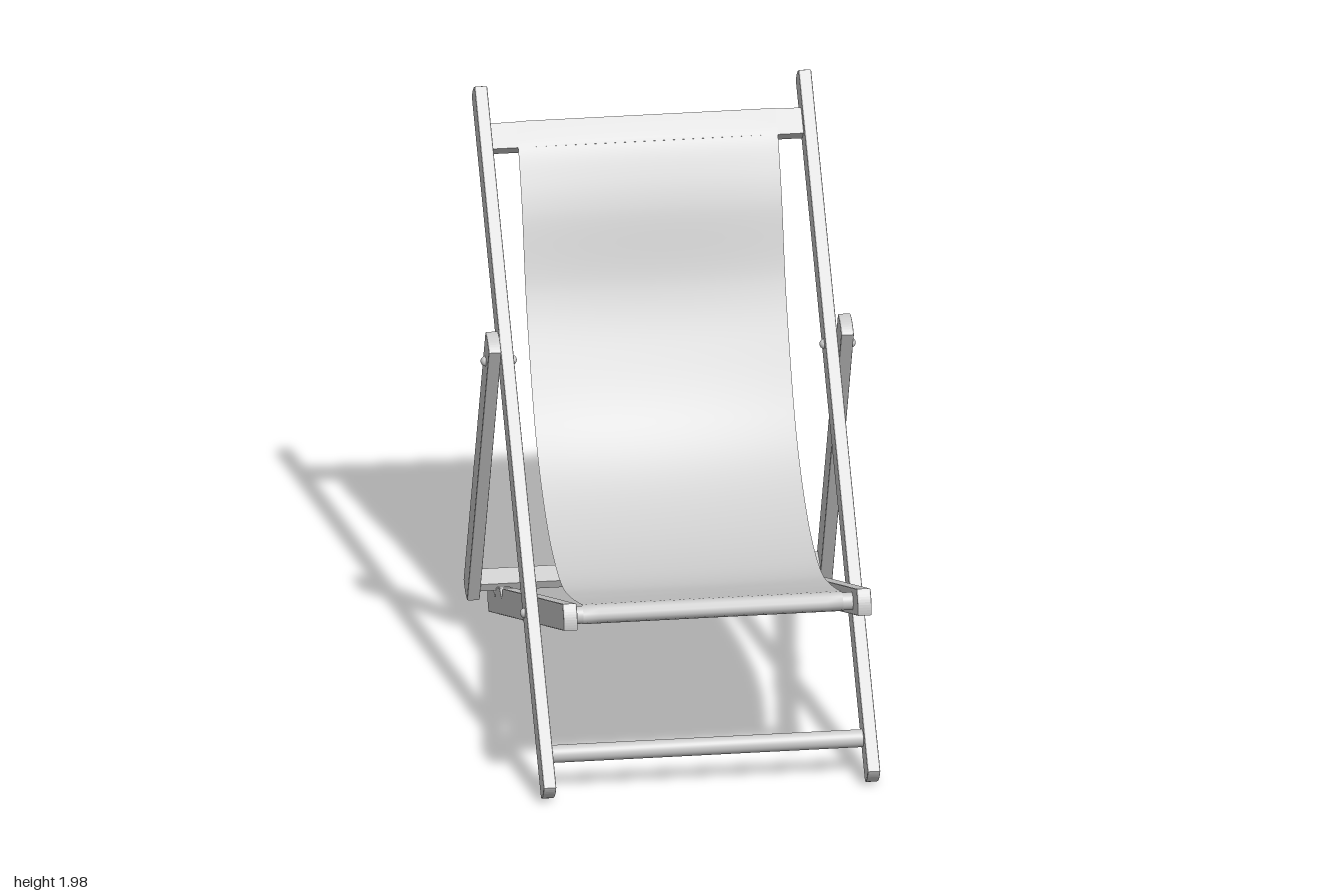
import * as THREE from 'three';

const material = new THREE.MeshStandardMaterial({ color: 0xcccccc });
const clothMaterial = new THREE.MeshStandardMaterial({ color: 0xcccccc, side: THREE.DoubleSide });
const V = (z, y) => new THREE.Vector2(z, y);

// Flat bar drawn in the side plane (z, y) from a to b, extruded along x.
// notches are distances from b cut into the upper edge.
function bar(a, b, width, thickness, bulge = 0.015, notches = []) {
  const d = b.clone().sub(a).normalize();
  const n = V(-d.y, d.x);
  const at = (p, along, side) => p.clone().addScaledVector(d, along).addScaledVector(n, side);
  const h = width / 2;
  const shape = new THREE.Shape();
  const move = (fn, p) => shape[fn](p.x, p.y);
  const cap = (p, sign, end) => {
    const c = at(p, sign * bulge, 0);
    shape.quadraticCurveTo(c.x, c.y, end.x, end.y);
  };
  move('moveTo', at(a, bulge / 2, h));
  move('lineTo', at(b, -bulge / 2, h));
  cap(b, 1, at(b, -bulge / 2, -h));
  for (const s of notches) {
    move('lineTo', at(b, -s, -h));
    move('lineTo', at(b, -s - 0.05, -h + 0.034));
    move('lineTo', at(b, -s - 0.08, -h));
  }
  move('lineTo', at(a, bulge / 2, -h));
  cap(a, -1, at(a, bulge / 2, h));
  const bevel = 0.005;
  const geo = new THREE.ExtrudeGeometry(shape, {
    depth: thickness - 2 * bevel, bevelSize: bevel, bevelThickness: bevel,
    bevelOffset: -bevel, bevelSegments: 2, curveSegments: 10,
  });
  geo.translate(0, 0, -(thickness - 2 * bevel) / 2);
  geo.rotateY(-Math.PI / 2);
  return geo;
}

function dowel(radius, length, z, y) {
  const geo = new THREE.CylinderGeometry(radius, radius, length, 32);
  geo.rotateZ(Math.PI / 2);
  geo.translate(0, y, z);
  return geo;
}

// Sling: a side-plane path swept across x, sagging a little in the middle.
function slingGeometry(halfWidth) {
  const path = [
    [-0.861, 1.874], [-0.83, 1.842], [-0.79, 1.797], [-0.74, 1.71], [-0.69, 1.6], [-0.6, 1.33],
    [-0.5, 1.135], [-0.35, 0.91], [-0.2, 0.772], [0, 0.662], [0.2, 0.616], [0.36, 0.616],
    [0.55, 0.658], [0.72, 0.708],
  ].map(([z, y]) => new THREE.Vector3(0, y, z));
  // wrap over the front dowel
  for (let i = 0; i <= 6; i++) {
    const t = THREE.MathUtils.degToRad(108 - i * 35);
    path.push(new THREE.Vector3(0, 0.715 + 0.033 * Math.sin(t), 0.855 + 0.033 * Math.cos(t)));
  }
  const curve = new THREE.CatmullRomCurve3(path, false, 'centripetal');
  const cols = 16, rows = 140;
  const geo = new THREE.PlaneGeometry(1, 1, cols, rows);
  const pos = geo.attributes.position;
  for (let r = 0; r <= rows; r++) {
    const p = curve.getPointAt(r / rows), t = curve.getTangentAt(r / rows);
    const fade = Math.sin(Math.PI * Math.min(1, r / rows / 0.9)) ** 1.5 || 0;
    for (let c = 0; c <= cols; c++) {
      const s = (c / cols) * 2 - 1;
      const sag = 0.024 * (1 - s * s) * fade;
      pos.setXYZ(r * (cols + 1) + c, s * halfWidth, p.y - t.z * sag, p.z + t.y * sag);
    }
  }
  geo.computeVertexNormals();
  return geo;
}

export function createModel() {
  const chair = new THREE.Group();
  chair.name = 'deckChair';
  const add = (name, geo, x = 0, mat = material) => {
    const mesh = new THREE.Mesh(geo, mat);
    mesh.name = name;
    mesh.position.x = x;
    chair.add(mesh);
    return mesh;
  };

  // Side members, mirrored
  const backRail = bar(V(0.822, 0.032), V(-0.967, 1.957), 0.098, 0.045);
  const seatRail = bar(V(0.988, 0.762), V(-0.958, 0.053), 0.094, 0.05, 0.015, [0.16, 0.335]);
  const prop = bar(V(-0.234, 1.312), V(-0.8, 0.148), 0.1, 0.045);
  const bolt = new THREE.SphereGeometry(0.018, 20, 14);
  for (const [side, s] of [['left', 1], ['right', -1]]) {
    add(side + 'BackRail', backRail, s * 0.5675);
    add(side + 'SeatRail', seatRail, s * 0.515);
    add(side + 'Prop', prop, s * 0.6175);
    for (const [name, x, z, y] of [
      ['PropBoltOuter', 0.639, -0.278, 1.22], ['PropBoltInner', 0.548, -0.278, 1.22],
      ['PivotBoltOuter', 0.588, 0.36, 0.53], ['PivotBoltInner', 0.493, 0.36, 0.53],
    ]) {
      add(side + name, bolt, s * x).position.set(s * x, y, z);
    }
  }

  // Cross members
  add('footDowel', dowel(0.031, 1.1, 0.715, 0.142));
  add('seatFrontDowel', dowel(0.031, 1.0, 0.855, 0.715));
  add('headBoard', bar(V(-0.8125, 1.785), V(-0.8775, 1.855), 0.05, 1.1, 0));
  add('propCrossBar', bar(V(-0.736, 0.184), V(-0.804, 0.216), 0.034, 1.2, 0));

  // Fabric
  add('fabricSling', slingGeometry(0.455), 0, clothMaterial);
  return chair;
}
